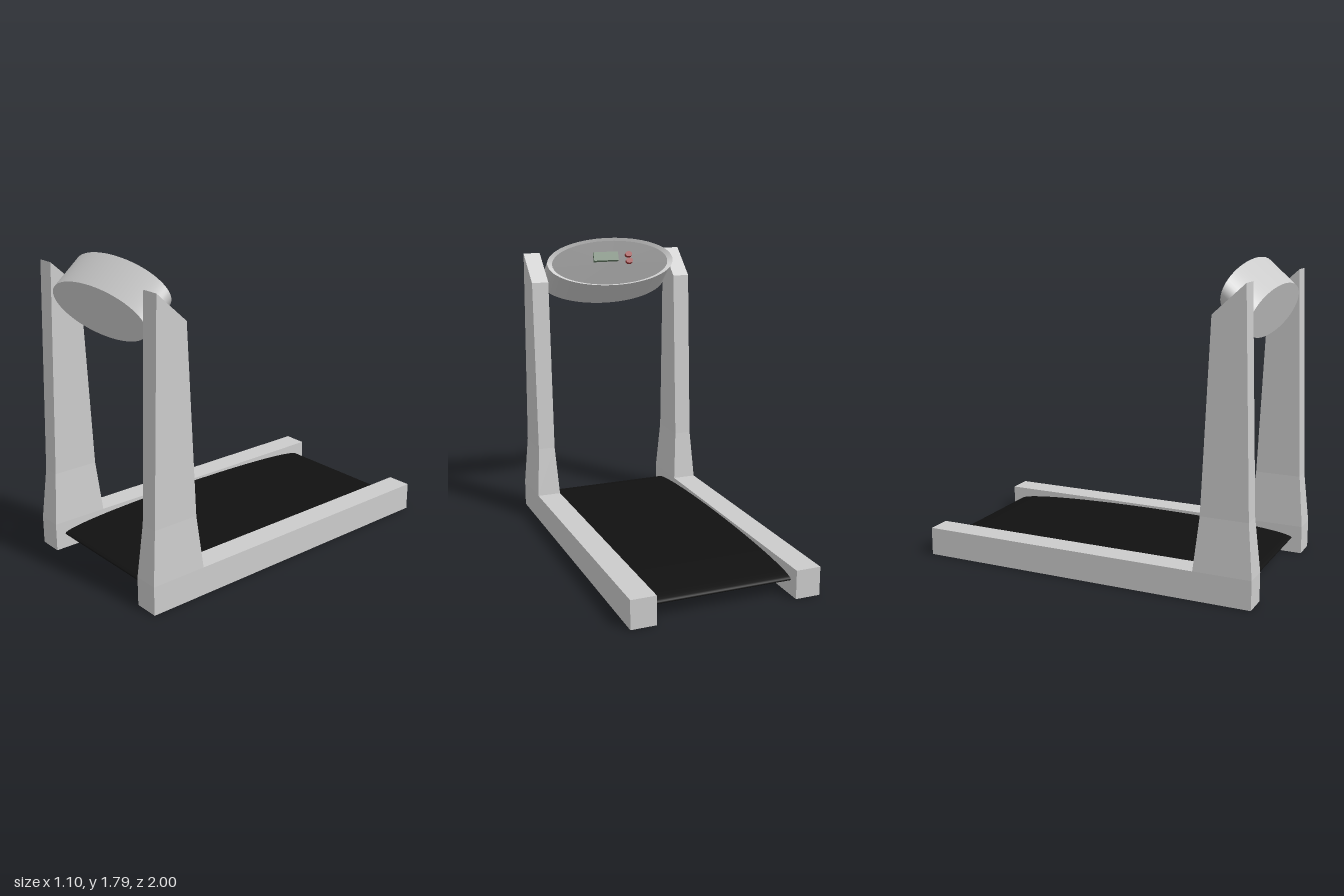
import * as THREE from 'three';
import { toCreasedNormals } from 'three/addons/utils/BufferGeometryUtils.js';

const paint = (color) => new THREE.MeshStandardMaterial({ color });

// Tapered upright: a box with three levels, each fitted to its own cross-section
function postGeometry(side) {
  const levels = [
    { inner: 0.405, outer: 0.55, back: 0.67, front: 1.0, yBack: 0.165, yFront: 0.165 },
    { inner: 0.425, outer: 0.53, back: 0.70, front: 0.97, yBack: 0.47, yFront: 0.47 },
    { inner: 0.425, outer: 0.53, back: 0.745, front: 0.925, yBack: 1.535, yFront: 1.70 },
  ];
  const box = new THREE.BoxGeometry(2, 2, 2, 1, 2, 1);
  const p = box.attributes.position;
  for (let i = 0; i < p.count; i++) {
    const l = levels[Math.round(p.getY(i)) + 1];
    const isFront = p.getZ(i) > 0;
    const x = p.getX(i) * side > 0 ? l.outer : l.inner;
    p.setXYZ(i, x * side, isFront ? l.yFront : l.yBack, isFront ? l.front : l.back);
  }
  const flat = box.toNonIndexed();
  flat.computeVertexNormals();
  return flat;
}

export function createModel() {
  const model = new THREE.Group();
  model.name = 'treadmill';
  const grey = paint(0xcccccc);

  const add = (parent, name, geometry, material) => {
    const mesh = new THREE.Mesh(geometry, material);
    mesh.name = name;
    parent.add(mesh);
    return mesh;
  };

  // Side rails and uprights
  for (const side of [1, -1]) {
    const label = side > 0 ? 'left' : 'right';
    const rail = add(model, label + 'Rail', new THREE.BoxGeometry(0.145, 0.165, 2), grey);
    rail.position.set(side * 0.4775, 0.0825, 0);
    add(model, label + 'Post', postGeometry(side), grey);
  }

  // Running belt: a flattened cylinder lying across the rails
  const belt = new THREE.CylinderGeometry(1, 1, 0.81, 64);
  belt.rotateZ(Math.PI / 2).scale(1, 0.06, 0.94).translate(0, 0.09, 0);
  add(model, 'belt', belt, paint(0x111111));

  // Console: built as a unit disc, then slanted into place between the posts
  const console = new THREE.Group();
  console.name = 'console';
  model.add(console);
  const slant = new THREE.Matrix4().makeBasis(
    new THREE.Vector3(0.425, 0, 0),
    new THREE.Vector3(0, 0.135, -0.155),
    new THREE.Vector3(0, 0.145, 0.05),
  ).setPosition(0, 1.5775, 0.8375);
  const addSlanted = (name, geometry, material) =>
    add(console, name, toCreasedNormals(geometry.applyMatrix4(slant), 0.6), material);

  const profile = [[0, -0.5], [1, -0.5], [1, 0.5], [0.92, 0.44]]
    .map(([r, y]) => new THREE.Vector2(r, y));
  addSlanted('consoleBody', new THREE.LatheGeometry(profile, 64), grey);
  addSlanted('consolePanel',
    new THREE.CircleGeometry(0.92, 64).rotateX(-Math.PI / 2).translate(0, 0.44, 0),
    paint(0x666666));

  // Display and two buttons on the panel
  addSlanted('display',
    new THREE.BoxGeometry(0.39, 0.1, 0.36).translate(0.075, 0.47, 0.22), paint(0x6b806b));
  const red = paint(0x993333);
  [0.28, 0.0].forEach((z, i) => {
    const button = new THREE.CylinderGeometry(1, 1, 0.1, 24);
    button.scale(0.055, 1, 0.11).translate(-0.29, 0.47, z);
    addSlanted('button' + (i + 1), button, red);
  });

  return model;
}
